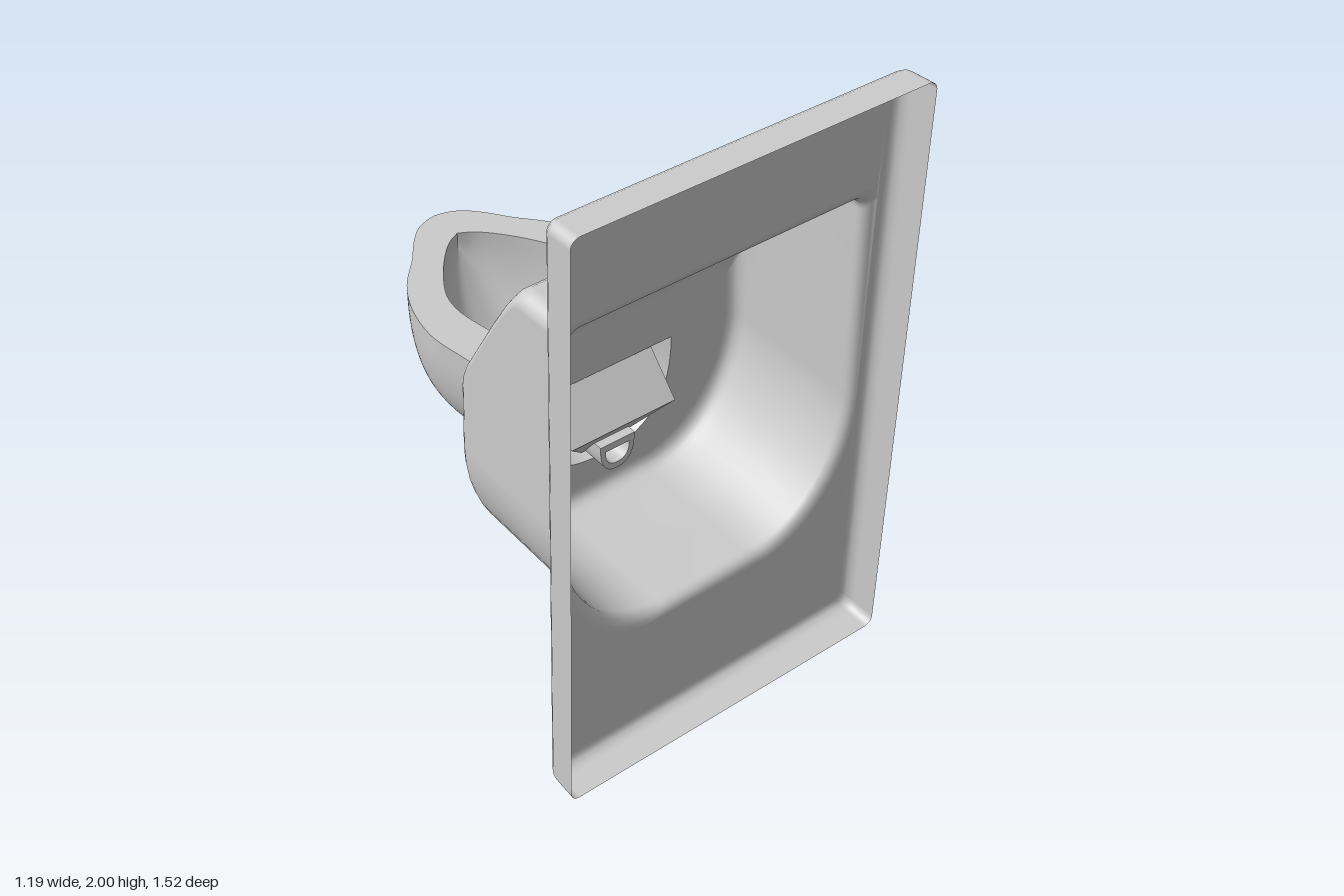
import * as THREE from 'three';
import { ConvexGeometry } from 'three/addons/geometries/ConvexGeometry.js';
import { toCreasedNormals } from 'three/addons/utils/BufferGeometryUtils.js';

const material = new THREE.MeshStandardMaterial({ color: 0xcccccc, side: THREE.DoubleSide });

// Skin between cross-sections that all have the same number of points
function loft(loops, closed) {
  const n = loops[0].length, index = [];
  for (let i = 0; i < loops.length - 1; i++) {
    for (let j = 0; j < (closed ? n : n - 1); j++) {
      const k = (j + 1) % n, a = i * n + j, b = i * n + k, c = a + n, d = b + n;
      index.push(a, b, d, a, d, c);
    }
  }
  const geometry = new THREE.BufferGeometry().setFromPoints(loops.flat());
  geometry.setIndex(index);
  geometry.computeVertexNormals();
  return geometry;
}

// Rounded panel outline: small round top corners, elliptical bottom corners
function outline(z, hw, topHw, y0, y1, r, rx, ry) {
  const pts = [], steps = 12;
  const corner = (cx, cy, ax, ay, start) => {
    for (let i = 0; i <= steps; i++) {
      const t = start + (i / steps) * Math.PI / 2;
      pts.push(new THREE.Vector3(cx + ax * Math.cos(t), cy + ay * Math.sin(t), z));
    }
  };
  corner(topHw - r, y1 - r, r, r, 0);
  corner(-topHw + r, y1 - r, r, r, Math.PI / 2);
  corner(-hw + rx, y0 + ry, rx, ry, Math.PI);
  corner(hw - rx, y0 + ry, rx, ry, Math.PI * 1.5);
  return pts;
}

// U-shaped cross-section, open at the top
function uSection(z, w, top, bottom, steps = 40) {
  const pts = [];
  for (let i = 0; i <= steps; i++) {
    const t = (i / steps) * Math.PI, c = Math.cos(t), s = Math.max(0, Math.sin(t));
    pts.push(new THREE.Vector3(
      -w * Math.sign(c) * Math.abs(c) ** 0.78, top - (top - bottom) * s ** 0.78, z));
  }
  return pts;
}

const flat = pts => pts.map(p => new THREE.Vector2(p.x, p.y));

function ringShape(outer, inner) {
  const shape = new THREE.Shape(flat(outer));
  shape.holes.push(new THREE.Path(flat(inner)));
  return shape;
}

export function createModel() {
  const model = new THREE.Group();
  const add = (name, geometry) => {
    const mesh = new THREE.Mesh(geometry, material);
    mesh.name = name;
    model.add(mesh);
  };

  // Shallow wall pan, open to the front, flowing into a deep recess
  const pan = (z, inset) => outline(z, 0.595 - inset, 0.595 - inset, inset, 2 - inset, 0.03, 0.03, 0.03);
  const recess = (z, inset, top) => {
    const hw = 0.518 - inset;
    return outline(z, hw, hw - 0.012 * (top - 0.9) / 0.7, 0.44 + inset, top, 0.05, 0.35, 0.45 - inset);
  };
  const loops = [
    pan(0.76, 0), pan(0.68, 0.002), pan(0.665, 0.004), pan(0.65, 0.012), pan(0.643, 0.022), pan(0.64, 0.035), pan(0.64, 0.05),
    recess(0.64, -0.035, 1.635), recess(0.638, -0.022, 1.622), recess(0.63, -0.008, 1.608), recess(0.615, 0, 1.6)
  ];
  const slope = [[0.6, 1.6], [0.44, 1.6], [0.41, 1.597], [0.385, 1.58], [0.365, 1.555], [0.34, 1.52],
    [0.29, 1.44], [0.22, 1.32], [0.165, 1.225]];
  for (const [z, top] of slope) loops.push(recess(z, 0, top));
  loops.push(recess(0.15, 0.003, 1.195), recess(0.135, 0.01, 1.16), recess(0.125, 0.022, 1.13),
    recess(0.12, 0.04, 1.1), recess(0.12, 0.05, 1.09));
  add('wallShell', loft(loops, true));

  // Back wall of the recess with its throat opening
  const throat = uSection(0.12, 0.265, 0.91, 0.578);
  const back = new THREE.ShapeGeometry(ringShape(loops.at(-1), throat));
  add('recessBack', back.translate(0, 0, 0.12));

  // Collar behind the recess
  const collar = new THREE.ExtrudeGeometry(ringShape(uSection(0, 0.34, 1.0, 0.52), throat),
    { depth: 0.049, bevelEnabled: false });
  add('collar', toCreasedNormals(collar.translate(0, 0, 0.07), 0.6));

  // Bowl profiles: z, half width, bottom height
  const profile = rows => new THREE.CatmullRomCurve3(
    rows.map(r => new THREE.Vector3(...r)), false, 'centripetal').getPoints(54);
  const outer = profile([[0.07, 0.31, 0.54], [-0.1, 0.342, 0.536], [-0.25, 0.36, 0.533], [-0.39, 0.333, 0.53],
    [-0.5, 0.28, 0.6], [-0.6, 0.195, 0.68], [-0.68, 0.135, 0.775], [-0.73, 0.085, 0.86],
    [-0.753, 0.037, 0.925], [-0.76, 0, 0.945]]);
  const inner = profile([[-0.07, 0.17, 0.58], [-0.085, 0.19, 0.58], [-0.13, 0.2, 0.58], [-0.29, 0.225, 0.58],
    [-0.37, 0.215, 0.585], [-0.45, 0.177, 0.65], [-0.55, 0.105, 0.78], [-0.61, 0.045, 0.88], [-0.635, 0, 0.93]]);
  const skin = rows => loft(rows.map(p => uSection(p.x, p.y, 0.98, p.z)), false);
  add('bowlOuter', skin(outer));
  add('bowlCavity', skin(inner));

  // Flat rim around the bowl opening
  const plan = rows => [
    ...rows.map(p => new THREE.Vector2(p.y, -p.x)),
    ...rows.slice(0, -1).reverse().map(p => new THREE.Vector2(-p.y, -p.x))
  ];
  const rim = new THREE.ShapeGeometry(ringShape(plan(outer), plan(inner)));
  add('bowlRim', rim.rotateX(-Math.PI / 2).translate(0, 0.98, 0));

  // Passage from the recess into the bowl, and the step at its end
  const throatEnd = uSection(-0.07, 0.17, 0.91, 0.58);
  add('throat', toCreasedNormals(loft([throat, throatEnd], true), 0.6));
  add('throatStep', loft([throatEnd, uSection(-0.07, 0.17, 0.98, 0.58)], true));

  // Sloping wedge in the throat, with a small hollow tongue below it
  const corners = [];
  for (const s of [-1, 1]) {
    for (const [x, y, z] of [[0.195, 0.909, 0.1], [0.195, 0.77, 0.23], [0.195, 0.77, 0.1], [0.06, 0.6, 0.1]]) {
      corners.push(new THREE.Vector3(s * x, y, z));
    }
  }
  add('throatWedge', new ConvexGeometry(corners));
  const tongue = new THREE.ExtrudeGeometry(
    ringShape(uSection(0, 0.065, 0.69, 0.582, 16), uSection(0, 0.045, 0.665, 0.605, 16)),
    { depth: 0.1, bevelEnabled: false });
  add('tongue', toCreasedNormals(tongue.translate(0, 0, 0.1), 0.6));

  return model;
}
